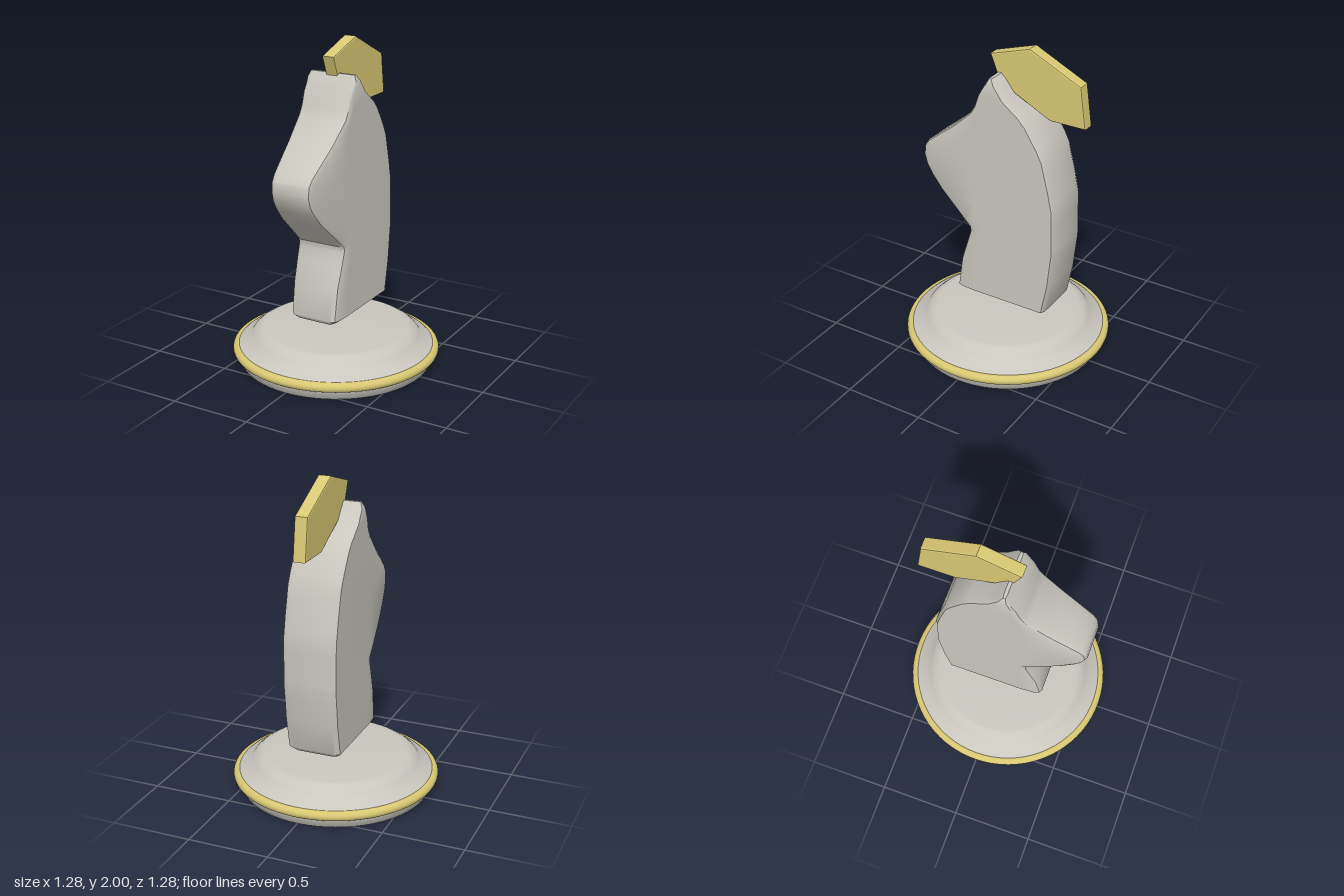
import * as THREE from 'three';
import { toCreasedNormals } from 'three/addons/utils/BufferGeometryUtils.js';

// Half width of the body, tapering towards the snout
const halfWidth = (z) => 0.165 - 0.035 * THREE.MathUtils.clamp((z - 0.18) / 0.34, 0, 1);

// Horizontal sections of the body: y, back z, front z, inset in x
const ROWS = [
  [0.34, -0.33, 0.27, 0.025], [0.36, -0.345, 0.28, 0], [0.56, -0.385, 0.25, 0], [0.7, -0.4, 0.205, 0],
  [0.78, -0.41, 0.18, 0], [0.81, -0.41, 0.185, 0], [0.86, -0.409, 0.24, 0], [1.0, -0.407, 0.4, 0],
  [1.08, -0.405, 0.47, 0], [1.14, -0.392, 0.51, 0], [1.2, -0.38, 0.527, 0], [1.26, -0.365, 0.52, 0],
  [1.3, -0.355, 0.49, 0], [1.38, -0.335, 0.39, 0], [1.45, -0.3, 0.3, 0], [1.57, -0.225, 0.17, 0],
  [1.62, -0.18, 0.14, 0], [1.7, -0.075, 0.11, 0], [1.78, -0.015, 0.06, 0.003], [1.815, 0.02, 0.04, 0.02],
];

// One ring: chamfered at the back, rounded at the front, mirrored in x
function ring([y, back, front, inset]) {
  const span = front - back;
  const b = Math.min(0.015, span * 0.2);
  const f = Math.min(0.04, span * 0.15);
  const mid = Math.min(0.15, back + span * 0.85);
  const half = [
    [0.03, back], [0, back + b], [0, mid], [0, front - f], [0.009, front - f * 0.3], [0.03, front],
  ].map(([cut, z]) => [halfWidth(z) - inset - cut, y, z]);
  return [...half, ...half.map(([x, h, z]) => [-x, h, z]).reverse()];
}

function bodyGeometry() {
  const rings = ROWS.map(ring);
  const n = rings[0].length;
  const last = rings.length - 1;
  const positions = rings.flat(2);
  const index = [];
  for (let i = 0; i < last; i++) {
    for (let j = 0; j < n; j++) {
      const a = i * n + j, b = i * n + (j + 1) % n;
      index.push(a, a + n, b, b, a + n, b + n);
    }
  }
  // Bottom and top caps
  const bottom = positions.length / 3, top = bottom + 1;
  positions.push(0, ROWS[0][0], -0.03, 0, ROWS[last][0], 0.03);
  for (let j = 0; j < n; j++) {
    const k = (j + 1) % n;
    index.push(bottom, j, k, top, last * n + k, last * n + j);
  }
  const geometry = new THREE.BufferGeometry();
  geometry.setAttribute('position', new THREE.Float32BufferAttribute(positions, 3));
  geometry.setIndex(index);
  return toCreasedNormals(geometry, 0.62);
}

// Six-sided plate in the z-y plane
function crestGeometry() {
  const outline = [[0.095, 1.918], [-0.165, 2.0], [-0.493, 1.842], [-0.527, 1.59], [-0.3, 1.59], [0.03, 1.755]];
  const shape = new THREE.Shape(outline.map(([z, y]) => new THREE.Vector2(z, y)));
  const geometry = new THREE.ExtrudeGeometry(shape, {
    depth: 0.06, bevelThickness: 0.01, bevelSize: 0.008, bevelOffset: -0.008, bevelSegments: 2,
  });
  geometry.translate(0, 0, -0.03);
  geometry.rotateY(-Math.PI / 2);
  return geometry;
}

export function createModel() {
  const stone = new THREE.MeshStandardMaterial({ color: 0xcac7bf });
  stone.name = 'pale stone';
  const gold = new THREE.MeshStandardMaterial({ color: 0xd8c873 });
  gold.name = 'soft gold';

  const model = new THREE.Group();
  model.name = 'horsePiece';
  const add = (name, geometry, material) => {
    const mesh = new THREE.Mesh(geometry, material);
    mesh.name = name;
    model.add(mesh);
    return mesh;
  };

  // Turned base
  const profile = [
    [0, 0], [0.59, 0], [0.602, 0.02], [0.62, 0.06], [0.62, 0.1], [0.59, 0.125], [0.535, 0.15],
    [0.515, 0.178], [0.49, 0.2], [0.46, 0.217], [0.44, 0.22], [0, 0.22],
  ].map(([r, y]) => new THREE.Vector2(r, y));
  add('base', toCreasedNormals(new THREE.LatheGeometry(profile, 64), 0.75), stone);

  // Ring around the base
  const band = add('baseRing', new THREE.TorusGeometry(0.61, 0.03, 16, 72), gold);
  band.rotation.x = Math.PI / 2;
  band.position.y = 0.086;

  add('horseBody', bodyGeometry(), stone);
  add('crest', crestGeometry(), gold);
  return model;
}
